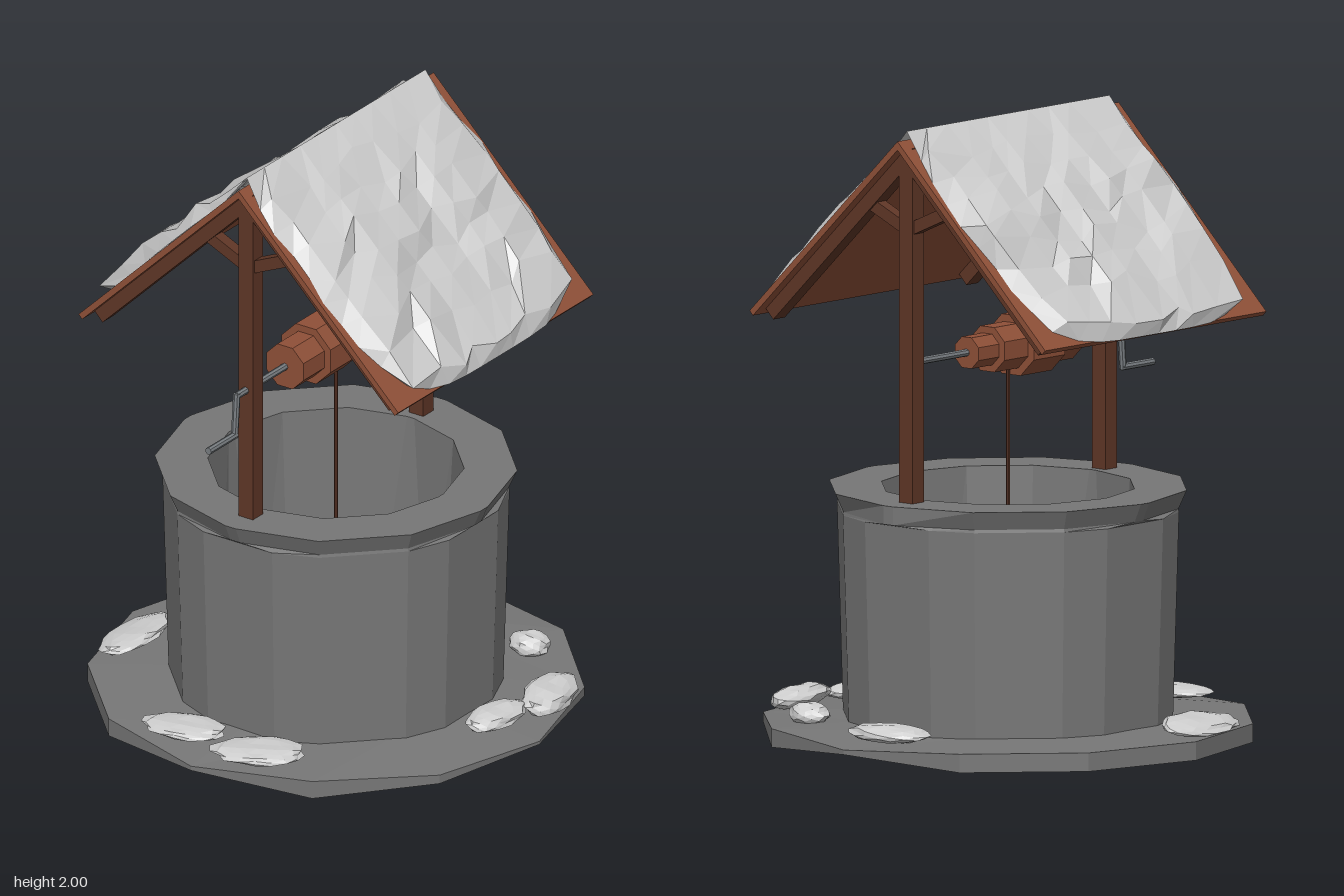
import * as THREE from 'three';

const mat = (color) => new THREE.MeshStandardMaterial({ color, flatShading: true, side: THREE.DoubleSide });
const STONE = mat(0x777777), SNOW = mat(0xcccccc), IRON = mat(0x777c80);
const WOOD = mat(0x8f5038), DARK = mat(0x5f3626);

// repeatable noise in 0..1
const noise = (a, b, c = 0) => {
  const s = Math.sin(Math.round(a * 50) * 12.99 + Math.round(b * 50) * 78.23 + Math.round(c * 50) * 37.72) * 43758.55;
  return s - Math.floor(s);
};

function add(parent, name, geometry, material, x = 0, y = 0, z = 0) {
  const m = new THREE.Mesh(geometry, material);
  m.name = name;
  m.position.set(x, y, z);
  parent.add(m);
  return m;
}

// skin over rows of [x, y, z] points; closed joins the ends of each row
function loft(rows, closed) {
  const pos = [], n = rows[0].length;
  for (let i = 0; i < rows.length - 1; i++) {
    for (let j = 0; j < (closed ? n : n - 1); j++) {
      const k = (j + 1) % n;
      const a = rows[i][j], b = rows[i][k], c = rows[i + 1][k], d = rows[i + 1][j];
      pos.push(...a, ...b, ...c, ...a, ...c, ...d);
    }
  }
  const g = new THREE.BufferGeometry();
  g.setAttribute('position', new THREE.Float32BufferAttribute(pos, 3));
  g.computeVertexNormals();
  return g;
}

const polar = (deg, r, y) => {
  const a = THREE.MathUtils.degToRad(deg);
  return [r * Math.sin(a), y, r * Math.cos(a)];
};

// twelve-sided slab with a slightly lifted, uneven rim
function slab() {
  const lift = [0.03, 0, 0.02, 0.033, 0.02, 0, 0.03, 0, 0, 0, 0, 0];
  const ring = (r, y) => lift.map((l, i) => polar(i * 30, r, y(l)));
  return loft([
    ring(0, () => 0), ring(0.4, () => 0), ring(0.795, (l) => l),
    ring(0.795, (l) => 0.06 - l * 0.5), ring(0.5, () => 0.07), ring(0, () => 0.07),
  ], true);
}

// wall with chamfered corners that meet in a twelve-sided rim
function wall() {
  const low = [], top = [];
  for (let q = 0; q < 360; q += 90) {
    low.push(q + 14, q + 30, q + 60, q + 76);
    top.push(q + 2, q + 30, q + 60, q + 88);
  }
  const ring = (angles, r, y) => angles.map((a) => polar(a, r, y));
  const lip = top.map((a) => polar(a, Math.abs(a - 180) < 5 ? 0.58 : 0.553, 0.745));
  return loft([
    ring(low, 0.535, 0.05), ring(low, 0.555, 0.735), lip, ring(top, 0.58, 0.805),
    ring(top, 0.41, 0.805), ring(low, 0.37, 0.1), ring(low, 0, 0.1),
  ], true);
}

// lumpy sheet of snow with rounded lower corners, in the plane of one roof side
function roofSnow(seed) {
  const rows = [], N = 9, M = 10;
  for (let i = 0; i <= N; i++) {
    const u = i / N, row = [];
    for (let j = 0; j <= M; j++) {
      const v = (j / M) * 2 - 1;
      const edge = j === 0 || j === M || i === N;
      const n = noise(i + seed, j), n2 = noise(j, i + seed, 3);
      let s = u * (0.885 - 0.075 * Math.abs(v) ** 5);
      let z = v * (0.49 + 0.03 * Math.sin(u * Math.PI) - 0.05 * u ** 6);
      let h = 0.022 + 0.045 * n * Math.min(1, u * 3);
      if (i === 0) {
        h = 0.02;
        s = -h * 0.976;
      } else if (edge) {
        h = 0.002;
        z += (n2 - 0.5) * 0.025;
      } else {
        s += (n2 - 0.5) * 0.06;
        z += (n - 0.5) * 0.06;
        if (i === N - 1) { h = 0.04; s = Math.min(s + 0.06, 0.86 - 0.07 * Math.abs(v) ** 5); }
        if (j === 1 || j === M - 1) z += Math.sign(v) * 0.05;
      }
      row.push([s, h, z]);
    }
    rows.push(row);
  }
  // rows run down the slope, so reverse them to face outwards
  return loft(rows.map((r) => r.reverse()).reverse(), false);
}

function snowLump(sx, sy, sz) {
  const g = new THREE.IcosahedronGeometry(1, 2);
  const p = g.attributes.position;
  for (let i = 0; i < p.count; i++) {
    const x = p.getX(i), y = p.getY(i), z = p.getZ(i);
    const k = 0.88 + 0.2 * noise(x, y, z);
    p.setXYZ(i, x * k * sx, y * k * sy, z * k * sz);
  }
  g.computeVertexNormals();
  return g;
}

// rod along z
function rod(r0, r1, length, sides) {
  return new THREE.CylinderGeometry(r0, r1, length, sides).rotateX(Math.PI / 2);
}

export function createModel() {
  const well = new THREE.Group();
  well.name = 'well';
  add(well, 'baseSlab', slab(), STONE);
  add(well, 'stoneWall', wall(), STONE);

  // posts and braces
  for (const z of [0.467, -0.467]) {
    add(well, 'post', new THREE.BoxGeometry(0.056, 1.16, 0.056), DARK, 0, 1.37, z);
    for (const s of [1, -1]) {
      const brace = add(well, 'brace', new THREE.BoxGeometry(0.19, 0.04, 0.04), DARK, s * 0.095, 1.725, z);
      brace.rotation.z = s * 0.42;
    }
  }

  // two mirrored roof sides, each built flat and tilted
  for (const [i, turn] of [0, Math.PI].entries()) {
    const half = new THREE.Group();
    half.name = 'roofHalf';
    half.rotation.y = turn;
    const slope = new THREE.Group();
    slope.name = 'roofSlope';
    slope.position.y = 1.975;
    slope.rotation.z = -0.773;
    add(slope, 'roofBoard', new THREE.BoxGeometry(0.873, 0.02, 1.07), WOOD, 0.4365, -0.01, 0);
    for (const z of [0.467, -0.467]) {
      add(slope, 'rafter', new THREE.BoxGeometry(0.82, 0.045, 0.056), DARK, 0.435, -0.042, z);
    }
    add(slope, 'roofSnow', roofSnow(i * 20), SNOW);
    half.add(slope);
    well.add(half);
  }

  // stepped winding drum: [front z, back z, radius]
  const steps = [[0.28, 0.16, 0.078], [0.165, 0.015, 0.104], [0.015, -0.1, 0.078], [-0.1, -0.2, 0.054]];
  for (const [a, b, r] of steps) {
    const drum = add(well, 'drum', rod(r, r, a - b, 8), WOOD, 0, 1.255, (a + b) / 2);
    drum.rotation.z = Math.PI / 8;
  }

  // axle and crank
  add(well, 'axle', rod(0.012, 0.012, 1.0, 8), IRON, 0, 1.255, 0.045);
  const arm = add(well, 'crankArm', new THREE.CylinderGeometry(0.012, 0.012, 0.15, 8), IRON, 0, 1.188, 0.55);
  arm.rotation.x = -0.08;
  add(well, 'crankHandle', rod(0.012, 0.012, 0.15, 8), IRON, 0, 1.12, 0.625);
  add(well, 'rope', new THREE.CylinderGeometry(0.006, 0.006, 1.0, 6), DARK, 0, 0.7, 0);

  // ground snow: [x, z, half width, half height, half depth, turn, tilt]
  const lumps = [
    [-0.665, 0.17, 0.09, 0.025, 0.175, 0.1, 0.2],
    [-0.05, -0.63, 0.14, 0.03, 0.09, 0.2, 0],
    [-0.14, 0.635, 0.14, 0.022, 0.09, 0.2, 0],
    [0.155, 0.645, 0.15, 0.025, 0.1, 0.5, 0],
    [0.665, -0.24, 0.075, 0.04, 0.15, 0.2, -0.2],
    [0.62, -0.01, 0.065, 0.03, 0.13, -0.1, -0.1],
    [0.4, -0.5, 0.07, 0.04, 0.06, 0, 0],
  ];
  for (const [x, z, sx, sy, sz, turn, tilt] of lumps) {
    const lump = add(well, 'groundSnow', snowLump(sx, sy, sz), SNOW, x, 0.085, z);
    lump.rotation.set(0, turn, tilt);
  }
  return well;
}
